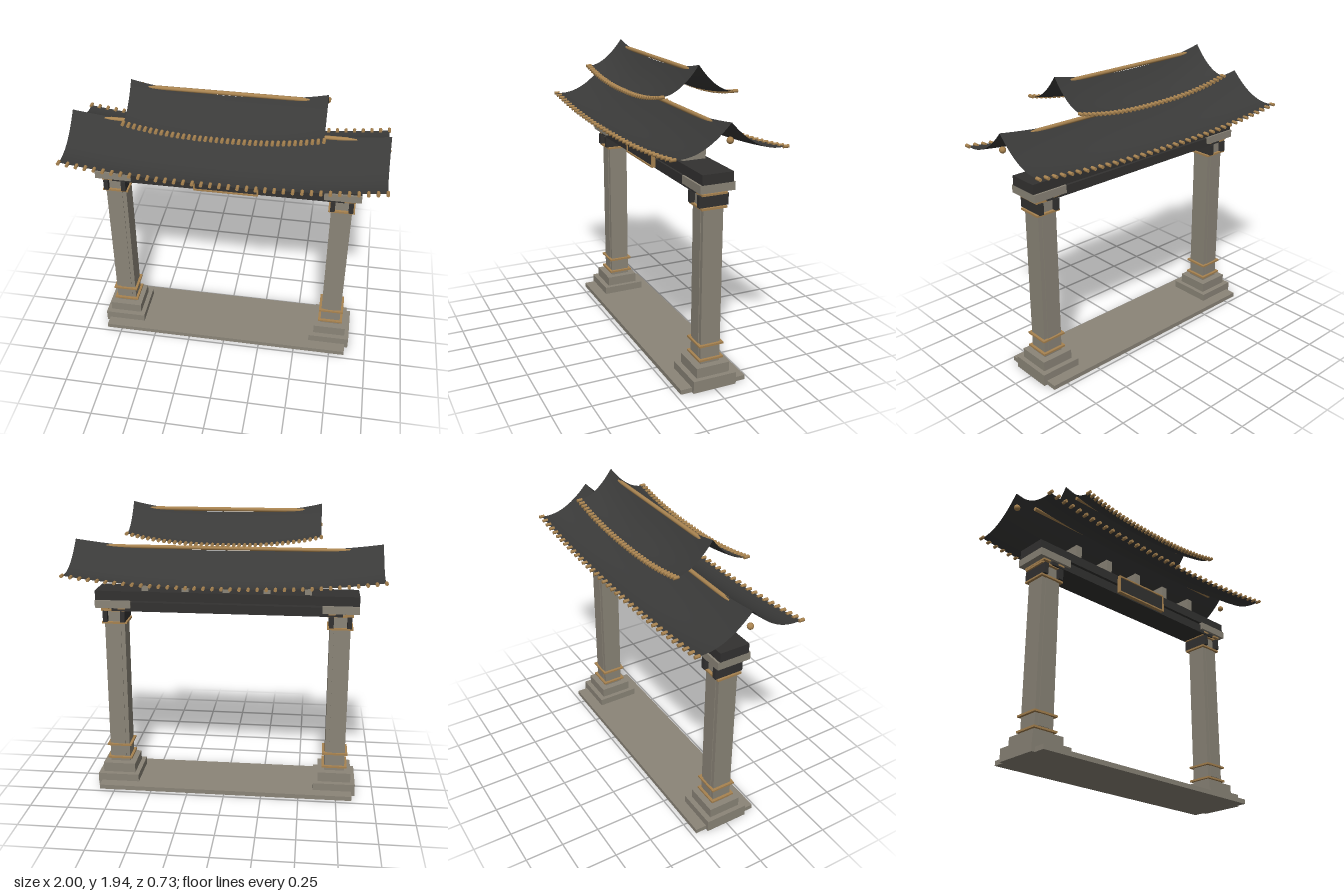
import * as THREE from 'three';

const mat = (color, side = THREE.FrontSide) => new THREE.MeshStandardMaterial({ color, side });
const stone = mat(0x8b8578), dark = mat(0x333231), gold = mat(0xa88350);
const tile = mat(0x3a3a39, THREE.DoubleSide);

function add(parent, name, geometry, material, x = 0, y = 0, z = 0) {
  const m = new THREE.Mesh(geometry, material);
  m.name = name;
  m.position.set(x, y, z);
  parent.add(m);
  return m;
}

// Box given by its bottom and top heights
function box(parent, name, material, w, y0, y1, d, x = 0, z = 0) {
  return add(parent, name, new THREE.BoxGeometry(w, y1 - y0, d), material, x, (y0 + y1) / 2, z);
}

// Pillar with stepped plinth, gold bands and bracketed capital
function pillar(x) {
  const g = new THREE.Group();
  g.name = 'pillar';
  g.position.x = x;
  box(g, 'plinthLower', stone, 0.28, 0, 0.08, 0.29);
  box(g, 'plinthUpper', stone, 0.22, 0.08, 0.145, 0.22);
  box(g, 'shaft', stone, 0.134, 0.145, 1.255, 0.13);
  for (const s of [-1, 1]) {
    box(g, 'shaftPanel', stone, 0.08, 0.19, 1.14, 0.005, 0, s * 0.067);
    box(g, 'bracket', dark, 0.03, 1.155, 1.228, 0.19, s * 0.058);
    box(g, 'bracketFoot', gold, 0.05, 1.243, 1.255, 0.19, s * 0.055);
  }
  for (const y of [0.175, 0.27, 1.147, 1.232]) {
    box(g, 'band', gold, 0.168, y - 0.006, y + 0.006, 0.165);
  }
  box(g, 'capital', stone, 0.235, 1.255, 1.305, 0.225);
  return g;
}

// Curved gable roof: concave slopes, ends lifted, row of tiles along each eave
function roof({ name, half, depth, ridgeY, drop, k, barHalf, barY }) {
  const g = new THREE.Group();
  g.name = name;
  const lift = (x) => 0.06 * Math.pow(Math.abs(x) / half, 2.4);
  const height = (x, t) => ridgeY + lift(x) - drop * (k * t - (k - 1) * t * t);

  const slope = new THREE.PlaneGeometry(2 * half, 1, 40, 14);
  const p = slope.attributes.position;
  for (let i = 0; i < p.count; i++) {
    const x = p.getX(i), t = 0.5 - p.getY(i);
    p.setXYZ(i, x, height(x, t), t * depth);
  }
  slope.computeVertexNormals();

  const cap = new THREE.CylinderGeometry(0.0105, 0.0105, 0.035, 10).rotateX(Math.PI / 2);
  const count = 37;
  for (const s of [1, -1]) {
    const side = new THREE.Group();
    side.name = s > 0 ? 'frontSlope' : 'backSlope';
    if (s < 0) side.rotation.y = Math.PI;
    add(side, 'roofSlope', slope, tile);
    for (let i = 0; i < count; i++) {
      const x = half * (2 * i / (count - 1) - 1);
      add(side, 'eaveTile', cap, gold, x, height(x, 1), depth + 0.002);
    }
    g.add(side);
  }
  const bar = new THREE.CylinderGeometry(0.013, 0.013, 2 * barHalf, 12).rotateZ(Math.PI / 2);
  add(g, 'ridgeBar', bar, gold, 0, barY, 0);
  return g;
}

export function createModel() {
  const model = new THREE.Group();
  model.name = 'gateway';

  box(model, 'baseSlab', stone, 1.71, 0, 0.03, 0.44);
  model.add(pillar(0.738), pillar(-0.738));

  // Paired lintels
  box(model, 'lowerBeam', dark, 1.5, 1.232, 1.293, 0.19);
  box(model, 'upperBeam', dark, 1.71, 1.305, 1.367, 0.2);

  // Framed plaque on the front
  const plaque = new THREE.Group();
  plaque.name = 'plaque';
  box(plaque, 'plaquePanel', dark, 0.4, 1.245, 1.355, 0.02, 0, 0.105);
  for (const s of [-1, 1]) {
    const y = 1.3 + s * 0.056;
    box(plaque, 'frameRail', gold, 0.415, y - 0.005, y + 0.005, 0.026, 0, 0.11);
    box(plaque, 'frameStile', gold, 0.01, 1.239, 1.361, 0.026, s * 0.2025, 0.11);
  }
  model.add(plaque);

  // Short posts under the roof
  for (let i = -2; i <= 2; i++) {
    box(model, 'roofPost', stone, 0.045, 1.365, 1.467, 0.155, i * 0.264);
  }

  model.add(roof({ name: 'lowerRoof', half: 0.99, depth: 0.347, ridgeY: 1.627, drop: 0.169, k: 2.3, barHalf: 0.84, barY: 1.643 }));
  model.add(roof({ name: 'upperRoof', half: 0.595, depth: 0.235, ridgeY: 1.876, drop: 0.168, k: 1.95, barHalf: 0.5, barY: 1.892 }));

  // Round finials at the gable ends
  const ball = new THREE.SphereGeometry(0.02, 16, 12);
  for (const s of [-1, 1]) add(model, 'finial', ball, gold, s * 0.977, 1.586, 0);

  return model;
}
